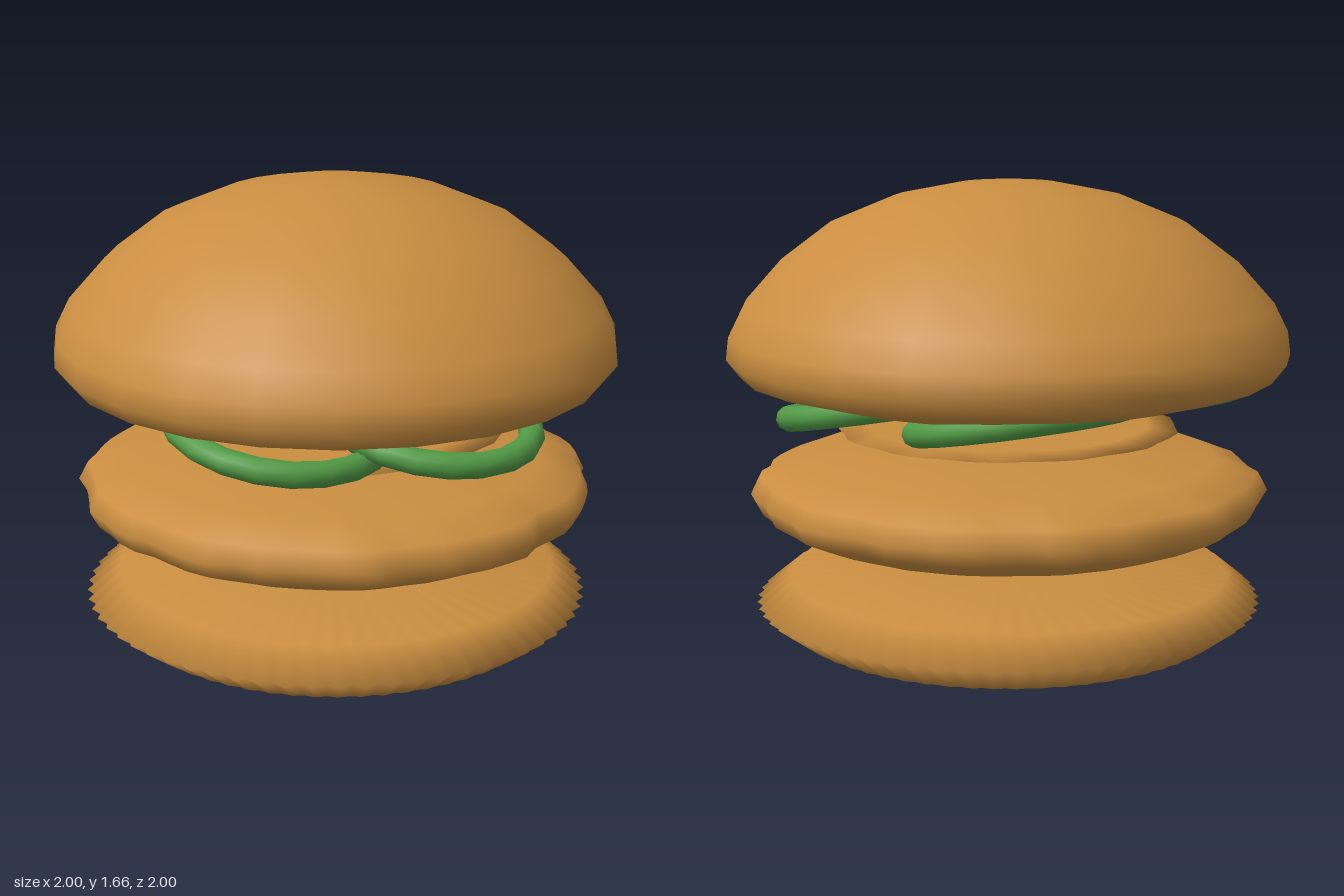
import * as THREE from 'three';
import { mergeVertices } from 'three/addons/utils/BufferGeometryUtils.js';

const bunBrown = new THREE.MeshStandardMaterial({ color: 0xc98d40 });
bunBrown.name = 'bun brown';
const leafGreen = new THREE.MeshStandardMaterial({ color: 0x529b46 });
leafGreen.name = 'leaf green';

// Turned layer; ripple(angle) scales the radius, weighted towards the rim
function layer(name, profile, sides, ripple = () => 0) {
  let geo = new THREE.LatheGeometry(profile.map(([r, y]) => new THREE.Vector2(r, y)), sides);
  const rim = Math.max(...profile.map(([r]) => r));
  const pos = geo.attributes.position;
  for (let i = 0; i < pos.count; i++) {
    const x = pos.getX(i), z = pos.getZ(i), r = Math.hypot(x, z);
    const k = 1 + ripple(Math.atan2(z, x)) * (r / rim) ** 6;
    pos.setX(i, x * k);
    pos.setZ(i, z * k);
  }
  // Weld the seam so the shading stays smooth all round
  geo.deleteAttribute('uv');
  geo.deleteAttribute('normal');
  geo = mergeVertices(geo, 1e-4);
  geo.computeVertexNormals();
  const mesh = new THREE.Mesh(geo, bunBrown);
  mesh.name = name;
  return mesh;
}

export function createModel() {
  const group = new THREE.Group();
  group.name = 'burger';

  // Bottom bun with a fluted rim
  group.add(layer('bottomBun', [
    [0, 0.005], [0.4, 0.035], [0.78, 0.07], [0.9, 0.165], [0.79, 0.26], [0.4, 0.295], [0, 0.325],
  ], 128, a => 0.013 * Math.cos(64 * a)));

  // Patty with an uneven edge
  group.add(layer('patty', [
    [0, 0.37], [0.5, 0.4], [0.76, 0.445], [0.88, 0.505], [0.91, 0.565],
    [0.88, 0.63], [0.74, 0.685], [0.4, 0.72], [0, 0.75],
  ], 64, a => 0.012 * Math.sin(11 * a) + 0.01 * Math.sin(19 * a + 1) + 0.006 * Math.sin(29 * a + 2)));

  // Thin slice above the patty
  group.add(layer('slice', [
    [0, 0.765], [0.5, 0.775], [0.605, 0.788], [0.5, 0.802], [0, 0.81],
  ], 40, a => 0.015 * Math.sin(13 * a)));

  // Five overlapping rings, all leaning down towards +x
  const ring = new THREE.TorusGeometry(0.36, 0.045, 10, 20).rotateX(Math.PI / 2);
  for (let i = 0; i < 5; i++) {
    const a = (i / 5) * Math.PI * 2;
    const mesh = new THREE.Mesh(ring, leafGreen);
    mesh.name = 'greenRing' + (i + 1);
    mesh.position.set(0.445 * Math.cos(a), 0.9, 0.445 * Math.sin(a));
    mesh.rotation.z = -0.2;
    group.add(mesh);
  }

  // Domed top bun
  group.add(layer('topBun', [
    [0, 0.88], [0.4, 0.895], [0.72, 0.93], [0.95, 0.995], [1, 1.06], [0.99, 1.14], [0.94, 1.24],
    [0.81, 1.385], [0.63, 1.52], [0.4, 1.615], [0.17, 1.66], [0, 1.667],
  ], 24));

  return group;
}
